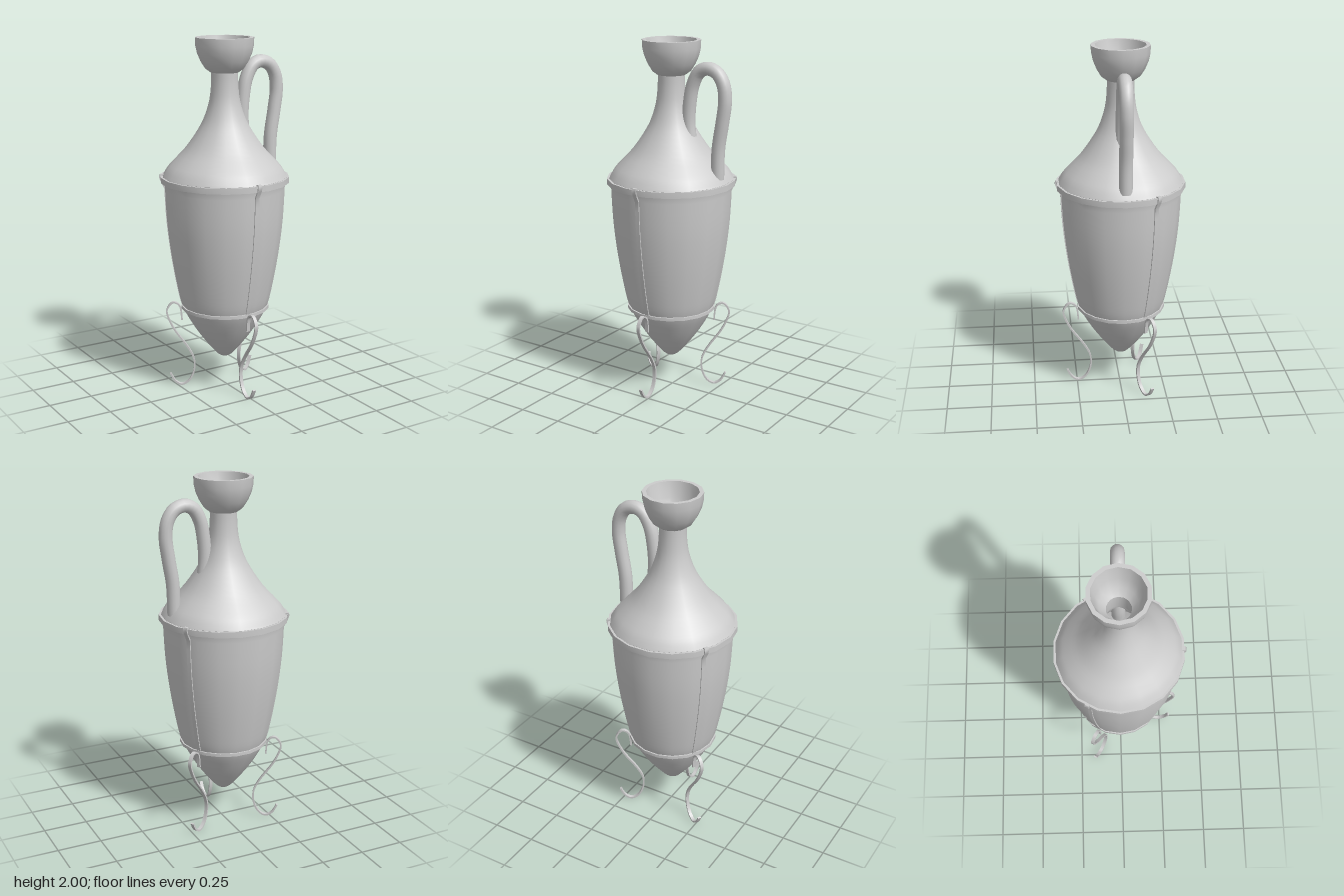
import * as THREE from 'three';
import { toCreasedNormals } from 'three/addons/utils/BufferGeometryUtils.js';

const material = new THREE.MeshStandardMaterial({ color: 0xcccccc });
const doubleSided = new THREE.MeshStandardMaterial({ color: 0xcccccc, side: THREE.DoubleSide });
const points = (list) => list.map(([x, y]) => new THREE.Vector2(x, y));
const smooth = (list, n) => new THREE.SplineCurve(points(list)).getPoints(n);

// Turned part with a corner of its polygon on the x axis
function turned(name, profile, sides) {
  const geometry = new THREE.LatheGeometry(profile, sides);
  geometry.rotateY(Math.PI / 2);
  const mesh = new THREE.Mesh(toCreasedNormals(geometry, 0.6), doubleSided);
  mesh.name = name;
  return mesh;
}

// Flat band with a rectangular section
function band(name, inner, outer, bottom, top) {
  return turned(name, points([
    [inner, bottom], [outer, bottom], [outer, top], [inner, top], [inner, bottom],
  ]), 18);
}

// Flat metal ribbon following a path in the radius/height plane
function ribbon(name, path, thickness, width) {
  const left = [], right = [];
  path.forEach((p, i) => {
    const a = path[Math.max(i - 1, 0)], b = path[Math.min(i + 1, path.length - 1)];
    const d = b.clone().sub(a).normalize().multiplyScalar(thickness / 2);
    left.push(new THREE.Vector2(p.x - d.y, p.y + d.x));
    right.unshift(new THREE.Vector2(p.x + d.y, p.y - d.x));
  });
  const geometry = new THREE.ExtrudeGeometry(new THREE.Shape([...left, ...right]), {
    depth: width, bevelEnabled: false,
  });
  geometry.translate(0, 0, -width / 2);
  const mesh = new THREE.Mesh(toCreasedNormals(geometry, 0.7), material);
  mesh.name = name;
  return mesh;
}

export function createModel() {
  const model = new THREE.Group();
  model.name = 'amphoraOnStand';
  const vase = new THREE.Group();
  vase.name = 'vase';
  const stand = new THREE.Group();
  stand.name = 'stand';
  model.add(vase, stand);

  // Body from pointed foot to neck, with a hollow inside
  const belly = smooth([
    [0.001, 0.18], [0.045, 0.2], [0.125, 0.295], [0.19, 0.392], [0.24, 0.49], [0.268, 0.6],
    [0.303, 0.8], [0.326, 1.0], [0.336, 1.21],
  ], 32);
  const shoulder = smooth([
    [0.346, 1.243], [0.318, 1.288], [0.275, 1.335], [0.215, 1.4], [0.15, 1.495], [0.112, 1.57],
    [0.085, 1.66], [0.075, 1.75], [0.074, 1.82],
  ], 24);
  const hollow = points([
    [0.065, 1.815], [0.065, 1.7], [0.13, 1.49], [0.255, 1.32], [0.31, 1.22],
    [0.3, 1.0], [0.24, 0.6], [0.17, 0.41], [0.001, 0.23],
  ]);
  vase.add(turned('body', [...belly, ...shoulder, ...hollow], 18));

  // Cup-shaped mouth
  vase.add(turned('mouthCup', points([
    [0.065, 1.815], [0.078, 1.812], [0.107, 1.833], [0.132, 1.873], [0.15, 1.915], [0.159, 1.955],
    [0.161, 2], [0.139, 2], [0.12, 1.915], [0.1, 1.855], [0.065, 1.815],
  ]), 14));

  // Looped handle from neck to shoulder
  const loop = new THREE.CatmullRomCurve3([
    [0.11, 1.46], [0.1, 1.56], [0.107, 1.67], [0.127, 1.77], [0.167, 1.84], [0.218, 1.861],
    [0.276, 1.842], [0.315, 1.785], [0.327, 1.7], [0.312, 1.58], [0.29, 1.44], [0.285, 1.27],
  ].map(([x, y]) => new THREE.Vector3(x + 0.012, y, 0)));
  const handle = new THREE.Mesh(new THREE.TubeGeometry(loop, 48, 0.037, 14), doubleSided);
  handle.name = 'handle';
  vase.add(handle);

  // Two hoops of the stand
  stand.add(band('upperHoop', 0.334, 0.358, 1.21, 1.242));
  stand.add(band('lowerHoop', 0.228, 0.251, 0.481, 0.499));

  // Straps lie on the flat facets of the body, so they use the facet radius
  const facet = Math.cos(Math.PI / 18);
  const strapPath = [
    ...points([[0.343, 1.246], [0.357, 1.247], [0.36, 1.236], [0.353, 1.215]]),
    ...belly.filter((p) => p.y > 0.47 && p.y < 1.2).reverse()
      .map((p) => new THREE.Vector2(p.x * facet + 0.002, p.y)),
  ];
  const legPath = smooth([
    [0.245, 0.4], [0.256, 0.48], [0.293, 0.503], [0.323, 0.475], [0.329, 0.43], [0.288, 0.339],
    [0.219, 0.243], [0.18, 0.169], [0.176, 0.1], [0.2, 0.037], [0.245, 0.006], [0.287, 0.026],
    [0.314, 0.074],
  ], 60);

  // Three supports, the first one facing the front
  for (let i = 0; i < 3; i++) {
    const support = new THREE.Group();
    support.name = `support${i + 1}`;
    support.add(ribbon('strap', strapPath, 0.008, 0.024), ribbon('scrollLeg', legPath, 0.009, 0.02));
    support.rotation.y = -Math.PI / 2 + (i * Math.PI * 2) / 3;
    stand.add(support);
  }

  // Offset that centres the whole model, handle included
  model.position.set(-0.012, 0, -0.007);
  return model;
}
